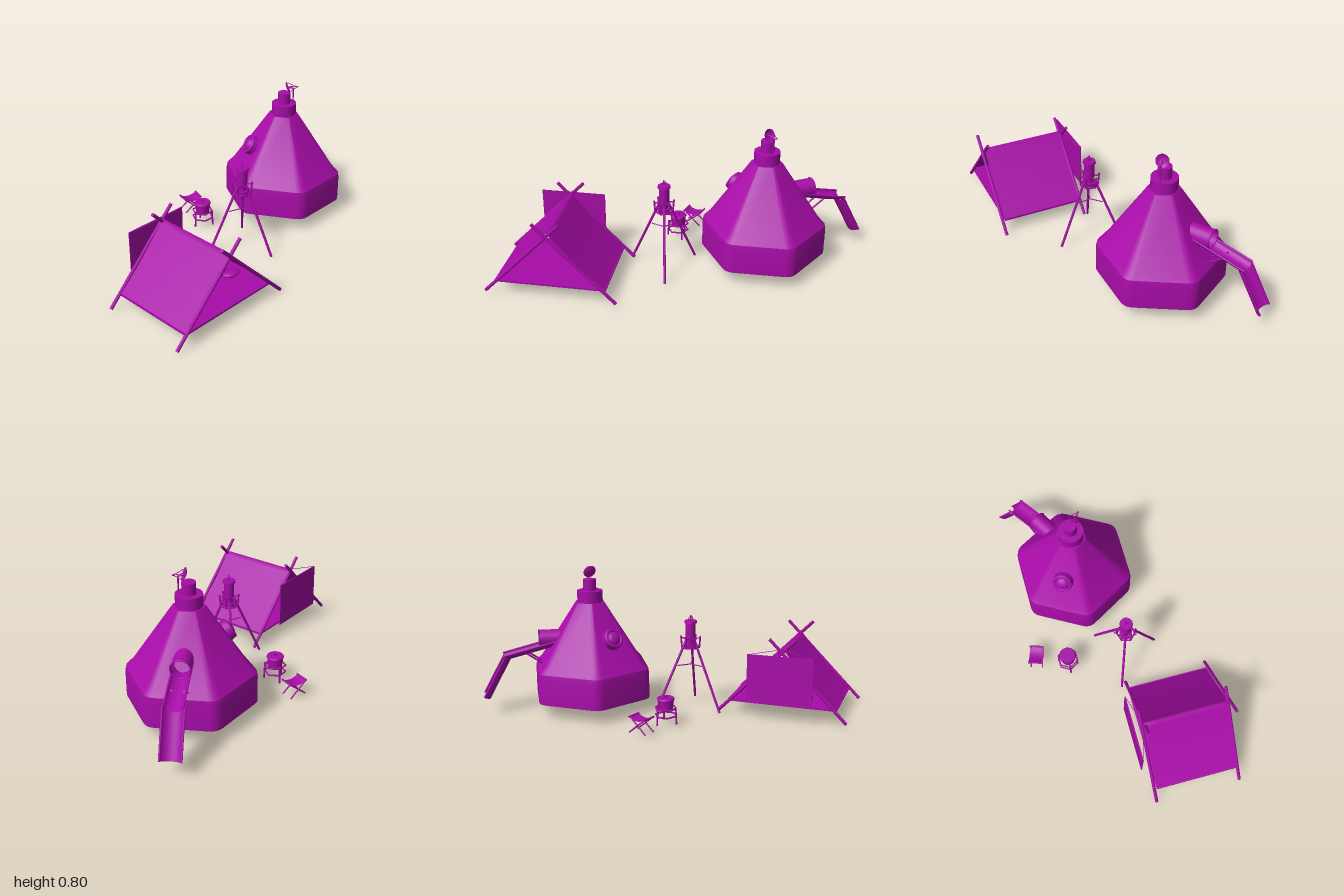
import * as THREE from 'three';
import { toCreasedNormals } from 'three/addons/utils/BufferGeometryUtils.js';

const mat = new THREE.MeshStandardMaterial({ color: 0xa80ca8 });
const clothMat = new THREE.MeshStandardMaterial({ color: 0xa80ca8, side: THREE.DoubleSide });
const V = (x, y, z) => new THREE.Vector3(x, y, z);

function add(parent, name, geo, x = 0, y = 0, z = 0, material = mat) {
  const m = new THREE.Mesh(geo, material);
  m.name = name;
  m.position.set(x, y, z);
  parent.add(m);
  return m;
}
function group(parent, name, x = 0, y = 0, z = 0, ry = 0) {
  const g = new THREE.Group();
  g.name = name;
  g.position.set(x, y, z);
  g.rotation.y = ry;
  parent.add(g);
  return g;
}
// Upright cylinder from y0 to y1
const cyl = (p, name, r0, r1, y0, y1, sides = 20, x = 0, z = 0) =>
  add(p, name, new THREE.CylinderGeometry(r1, r0, y1 - y0, sides), x, (y0 + y1) / 2, z);
// Round bar between two points
function bar(p, name, a, b, r, sides = 8) {
  const d = b.clone().sub(a);
  const m = add(p, name, new THREE.CylinderGeometry(r, r, d.length(), sides));
  m.position.copy(a).add(b).multiplyScalar(0.5);
  m.quaternion.setFromUnitVectors(V(0, 1, 0), d.normalize());
  return m;
}

// Hexagonal shell with rounded corners, lofted through [y, radius] levels
function hexShell(levels) {
  const n = 30, pos = [], idx = [];
  for (const [y, R] of levels) {
    const r = R * 0.2, d = R - r;
    for (let k = 0; k < 6; k++) for (let s = 0; s < 5; s++) {
      const a = 0.288 + k * Math.PI / 3, b = a + (s / 4 - 0.5) * Math.PI / 3;
      pos.push(Math.cos(a) * d + Math.cos(b) * r, y, Math.sin(a) * d + Math.sin(b) * r);
    }
  }
  const top = levels.length - 1, c0 = pos.length / 3;
  pos.push(0, levels[0][0], 0, 0, levels[top][0], 0);
  for (let j = 0; j < n; j++) {
    const j1 = (j + 1) % n;
    for (let i = 0; i < top; i++) {
      const a = i * n + j, b = i * n + j1;
      idx.push(a, a + n, b, b, a + n, b + n);
    }
    idx.push(c0, j, j1, c0 + 1, top * n + j1, top * n + j);
  }
  const g = new THREE.BufferGeometry();
  g.setAttribute('position', new THREE.Float32BufferAttribute(pos, 3));
  g.setIndex(idx);
  return toCreasedNormals(g, 0.45);
}

function buildHut(root) {
  const hut = group(root, 'hut', 0.325, 0, -0.415);
  add(hut, 'hutShell', hexShell([[0.08, 0.34], [0.22, 0.34], [0.248, 0.335], [0.285, 0.3], [0.605, 0.083]]));
  cyl(hut, 'chimneyBase', 0.07, 0.07, 0.6, 0.668, 28);
  cyl(hut, 'chimney', 0.036, 0.036, 0.668, 0.73, 24);

  // Dish aerial beside the chimney
  bar(hut, 'aerialMast', V(0.05, 0.66, 0.01), V(0.05, 0.76, 0.01), 0.004);
  const dish = group(hut, 'dish', 0.024, 0.768, 0.01);
  dish.rotation.z = 0.38;
  const bowl = add(dish, 'dishBowl', new THREE.SphereGeometry(0.06, 20, 6, 0, Math.PI * 2, 0, 0.64), 0.045, 0, 0, clothMat);
  bowl.rotation.z = Math.PI / 2;
  for (const a of [0.5, 2.6, 4.7])
    bar(dish, 'dishArm', V(0, Math.sin(a) * 0.03, Math.cos(a) * 0.03), V(0.045, -0.02, 0), 0.002, 5);
  add(dish, 'dishFeed', new THREE.SphereGeometry(0.005, 8, 6), 0.045, -0.02, 0);
  bar(dish, 'dishMount', V(-0.01, 0, 0), V(0.025, -0.02, 0), 0.004);

  // Porthole on the sloping wall
  const wall = group(hut, 'portholeWall', 0, 0, 0, Math.atan2(-0.972, 0.233));
  const port = group(wall, 'porthole', 0, 0.42, 0.19);
  port.rotation.x = -0.526;
  add(port, 'portholeFrame', new THREE.CylinderGeometry(0.054, 0.058, 0.04, 24), 0, 0, 0.005).rotation.x = Math.PI / 2;
  add(port, 'portholeRim', new THREE.TorusGeometry(0.046, 0.01, 8, 24), 0, 0, 0.025);
  add(port, 'portholeGlass', new THREE.SphereGeometry(0.04, 18, 12), 0, 0, 0.022).scale.z = 0.6;

  // Chute leaving the wall in two sloping troughs
  const chute = group(hut, 'chute', 0, 0, 0, Math.atan2(0.284, -0.959));
  add(chute, 'chuteMouth', new THREE.CylinderGeometry(0.05, 0.05, 0.18, 20, 1, true), 0, 0.405, 0.195, clothMat).rotation.x = Math.PI / 2;
  add(chute, 'chuteMouthRim', new THREE.TorusGeometry(0.05, 0.004, 6, 20), 0, 0.405, 0.285);
  const runs = [[0.2, 0.395, 0.485, 0.325, 0.046], [0.475, 0.32, 0.595, 0.1, 0.052]];
  for (const [z0, y0, z1, y1, r] of runs) {
    const len = Math.hypot(z1 - z0, y1 - y0);
    const t = add(chute, 'chuteTrough',
      new THREE.CylinderGeometry(r, r, len, 12, 1, true, -Math.PI / 2, Math.PI), 0, (y0 + y1) / 2, (z0 + z1) / 2, clothMat);
    t.rotation.x = Math.atan2(z1 - z0, y1 - y0);
    t.scale.z = 0.7;
    for (const s of [-1, 1]) bar(chute, 'chuteRail', V(s * r, y0, z0), V(s * r, y1, z1), 0.005);
  }
  for (const s of [-1, 1]) bar(chute, 'chuteStrut', V(s * 0.03, 0.265, 0.26), V(s * 0.03, 0.335, 0.36), 0.005);
}

function buildTent(root) {
  const tent = group(root, 'tent', -0.213, 0, 0.568, 0.747);
  add(tent, 'tentFloor', new THREE.BoxGeometry(0.6, 0.01, 0.47), 0, 0.08, 0);

  // Roof cloth: curved sides over a soft ridge
  const roof = new THREE.PlaneGeometry(2, 0.47, 32, 6);
  roof.rotateX(-Math.PI / 2);
  const p = roof.attributes.position;
  for (let i = 0; i < p.count; i++) {
    const u = p.getX(i), t = Math.abs(u), z = p.getZ(i);
    const x = 2 * t * (1 - t) * 0.14 + t * t * 0.3;
    const y = (1 - t) ** 2 * 0.392 + 2 * t * (1 - t) * 0.225 + t * t * 0.08;
    p.setXYZ(i, Math.sign(u) * x, y, z);
  }
  roof.computeVertexNormals();
  add(tent, 'tentRoof', roof, 0, 0, 0, clothMat);

  // Crossed pole frames at both ends
  for (const z of [-0.24, 0.24]) for (const s of [-1, 1])
    bar(tent, 'tentPole', V(s * 0.355, 0.015, z + s * 0.008), V(-s * 0.07, 0.445, z + s * 0.008), 0.009);

  // Hanging panel behind the rear opening
  add(tent, 'rearPanel', new THREE.BoxGeometry(0.36, 0.255, 0.006), 0, 0.237, -0.29);
  for (const s of [-1, 1]) bar(tent, 'panelCord', V(s * 0.178, 0.362, -0.29), V(0, 0.392, -0.24), 0.0015, 5);

  // Bedding
  const bag = add(tent, 'sleepingBag', new THREE.SphereGeometry(1, 24, 14), 0.1, 0.105, -0.03);
  bag.scale.set(0.11, 0.03, 0.055);
  bag.rotation.y = -0.35;
  const pillow = add(tent, 'pillow', new THREE.SphereGeometry(1, 20, 12), 0.195, 0.1, 0.05);
  pillow.scale.set(0.048, 0.016, 0.035);
  pillow.rotation.y = -0.3;
}

function buildLampStand(root) {
  const lamp = group(root, 'lampStand', 0.05, 0, 0.068);
  for (const [x, z] of [[0.016, -0.207], [0.155, 0.115], [-0.19, 0.08]]) {
    const k = 0.03 / Math.hypot(x, z);
    bar(lamp, 'tripodLeg', V(x, 0.004, z), V(x * k, 0.385, z * k), 0.007);
    bar(lamp, 'tripodBrace', V(0, 0.25, 0), V(x * 0.38, 0.25, z * 0.38), 0.003, 6);
  }
  const ring = add(lamp, 'lampCage', new THREE.TorusGeometry(0.05, 0.005, 6, 6), 0, 0.35, 0);
  ring.rotation.x = Math.PI / 2;
  for (let i = 0; i < 6; i++) {
    const a = i * Math.PI / 3, c = Math.cos(a), s = Math.sin(a);
    bar(lamp, 'cageArm', V(c * 0.048, 0.345, s * 0.048), V(c * 0.054, 0.412, s * 0.054), 0.005);
    bar(lamp, 'cageSpoke', V(c * 0.02, 0.4, s * 0.02), V(c * 0.053, 0.4, s * 0.053), 0.004, 6);
  }
  cyl(lamp, 'lampBase', 0.036, 0.036, 0.345, 0.368);
  cyl(lamp, 'lampNeck', 0.022, 0.026, 0.368, 0.41);
  cyl(lamp, 'lampBody', 0.028, 0.028, 0.405, 0.49);
  cyl(lamp, 'lampCap', 0.036, 0.034, 0.488, 0.5);
  cyl(lamp, 'lampFinial', 0.004, 0.004, 0.5, 0.53, 8);
  add(lamp, 'lampHandle', new THREE.TorusGeometry(0.014, 0.0025, 6, 14, Math.PI), 0, 0.508, 0).rotation.y = Math.PI / 2;
}

function buildStove(root) {
  const stove = group(root, 'stove', -0.16, 0.01, -0.195);
  for (const y of [0.045, 0.085]) {
    const ring = add(stove, 'stoveRing', new THREE.TorusGeometry(0.058, 0.0045, 6, 6), 0, y, 0);
    ring.rotation.set(Math.PI / 2, 0, 0.3);
  }
  for (let i = 0; i < 3; i++) {
    const a = i * 2 * Math.PI / 3 + 0.3, c = Math.cos(a), s = Math.sin(a);
    bar(stove, 'stoveLeg', V(c * 0.06, 0, s * 0.06), V(c * 0.055, 0.095, s * 0.055), 0.005);
    bar(stove, 'stoveSpoke', V(0, 0.085, 0), V(c * 0.056, 0.085, s * 0.056), 0.004, 6);
  }
  cyl(stove, 'pot', 0.038, 0.044, 0.075, 0.135);
  cyl(stove, 'potLid', 0.048, 0.044, 0.135, 0.143);
  cyl(stove, 'lidKnob', 0.007, 0.009, 0.143, 0.155, 10);
}

function buildStool(root) {
  const stool = group(root, 'foldingStool', -0.227, 0.012, -0.37, 0.44);
  // Sagging cloth seat
  const seat = new THREE.PlaneGeometry(0.1, 0.075, 10, 1);
  seat.rotateX(-Math.PI / 2);
  const p = seat.attributes.position;
  for (let i = 0; i < p.count; i++) p.setY(i, 0.083 + 6 * (p.getX(i) ** 2 - 0.0025));
  seat.computeVertexNormals();
  add(stool, 'stoolSeat', seat, 0, 0, 0, clothMat);
  for (const s of [-1, 1]) {
    bar(stool, 'stoolRail', V(s * 0.05, 0.083, -0.04), V(s * 0.05, 0.083, 0.04), 0.005);
    for (const z of [-0.033, 0.033])
      bar(stool, 'stoolLeg', V(-s * 0.05, 0, z + s * 0.003), V(s * 0.05, 0.083, z + s * 0.003), 0.004);
  }
}

export function createModel() {
  const root = new THREE.Group();
  root.name = 'camp';
  buildHut(root);
  buildTent(root);
  buildLampStand(root);
  buildStove(root);
  buildStool(root);
  return root;
}
